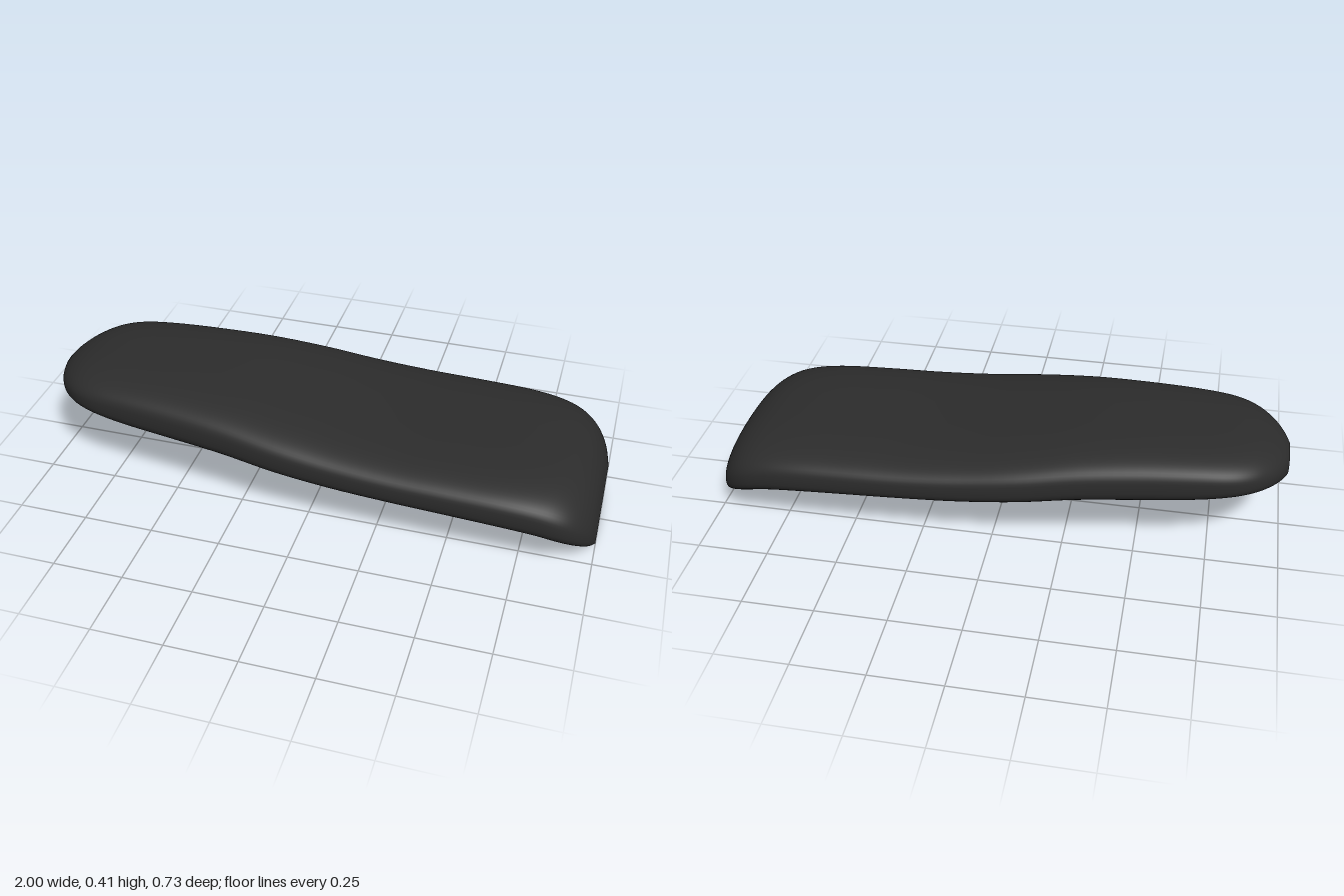
import * as THREE from 'three';

// Cross-sections along the pad: x, top y, bottom y, half width, roundness exponent
const STATIONS = [
  [-1, 0.33, 0.247, 0.07, 2.2],
  [-0.98, 0.35, 0.246, 0.12, 2.3],
  [-0.94, 0.374, 0.243, 0.18, 2.4],
  [-0.88, 0.394, 0.24, 0.232, 2.6],
  [-0.8, 0.405, 0.234, 0.266, 2.8],
  [-0.68, 0.409, 0.222, 0.286, 3],
  [-0.5, 0.408, 0.208, 0.306, 3],
  [-0.3, 0.396, 0.196, 0.329, 3],
  [-0.1, 0.37, 0.175, 0.352, 3],
  [0.1, 0.343, 0.158, 0.36, 3],
  [0.3, 0.326, 0.148, 0.364, 3],
  [0.5, 0.32, 0.137, 0.365, 3],
  [0.68, 0.314, 0.124, 0.363, 3],
  [0.8, 0.303, 0.105, 0.354, 2.9],
  [0.88, 0.284, 0.076, 0.338, 2.7],
  [0.94, 0.25, 0.044, 0.304, 2.5],
  [0.98, 0.2, 0.016, 0.255, 2.3],
  [1, 0.142, 0, 0.2, 2.2],
];
const SIDES = 72;
const STEPS = 5;

// Smooth blend between neighbouring stations
function stationAt(t) {
  const last = STATIONS.length - 1;
  const i = Math.min(Math.floor(t), last - 1);
  const f = t - i;
  const at = (k) => STATIONS[Math.max(0, Math.min(last, k))];
  return at(i).map((p1, c) => {
    const p0 = at(i - 1)[c], p2 = at(i + 1)[c], p3 = at(i + 2)[c];
    return p1 + 0.5 * f * (p2 - p0 + f * (2 * p0 - 5 * p1 + 4 * p2 - p3 + f * (3 * (p1 - p2) + p3 - p0)));
  });
}

// Rounded-rectangle ring for one station
function ring([x, top, bottom, halfWidth, n]) {
  const points = [];
  const power = (v) => Math.sign(v) * Math.abs(v) ** (2 / n);
  for (let j = 0; j < SIDES; j++) {
    const a = (j / SIDES) * Math.PI * 2;
    points.push([x, (top + bottom) / 2 + power(Math.sin(a)) * (top - bottom) / 2, power(Math.cos(a)) * halfWidth]);
  }
  return points;
}

function build(points, index) {
  const geometry = new THREE.BufferGeometry();
  geometry.setAttribute('position', new THREE.Float32BufferAttribute(points.flat(), 3));
  geometry.setIndex(index);
  geometry.computeVertexNormals();
  return geometry;
}

// Padded body lofted through the rings
function bodyGeometry() {
  const points = [], index = [];
  const count = (STATIONS.length - 1) * STEPS;
  for (let i = 0; i <= count; i++) points.push(...ring(stationAt(i / STEPS)));
  for (let i = 0; i < count; i++) {
    for (let j = 0; j < SIDES; j++) {
      const a = i * SIDES + j, b = i * SIDES + (j + 1) % SIDES;
      index.push(a, a + SIDES, b, b, a + SIDES, b + SIDES);
    }
  }
  return build(points, index);
}

// Flat end face closing the body
function capGeometry(station, facesRight) {
  const points = [...ring(station), [station[0], (station[1] + station[2]) / 2, 0]];
  const index = [];
  for (let j = 0; j < SIDES; j++) {
    const k = (j + 1) % SIDES;
    index.push(SIDES, ...(facesRight ? [k, j] : [j, k]));
  }
  return build(points, index);
}

export function createModel() {
  const group = new THREE.Group();
  group.name = 'paddedSeat';
  const material = new THREE.MeshStandardMaterial({ color: 0x2c2c2c });
  material.name = 'dark upholstery';
  const add = (name, geometry) => {
    const mesh = new THREE.Mesh(geometry, material);
    mesh.name = name;
    group.add(mesh);
  };
  add('seatPad', bodyGeometry());
  add('narrowEnd', capGeometry(STATIONS[0], false));
  add('wideEnd', capGeometry(STATIONS[STATIONS.length - 1], true));
  return group;
}
